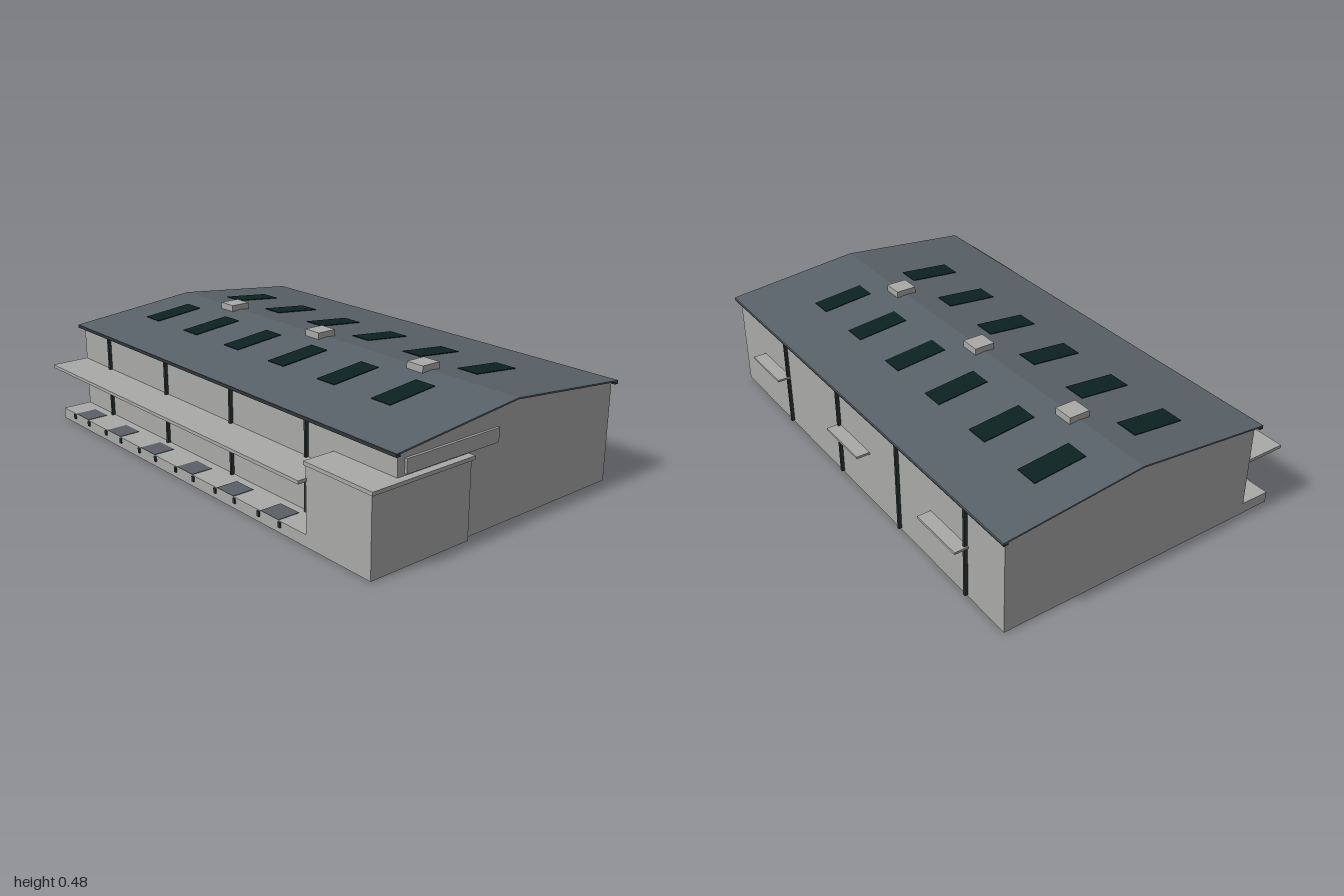
import * as THREE from 'three';

const mat = (name, color, side = THREE.FrontSide) => {
  const m = new THREE.MeshStandardMaterial({ color, side });
  m.name = name;
  return m;
};

export function createModel() {
  const group = new THREE.Group();
  const wall = mat('wall grey', 0xa9aaa8);
  const skirtMat = mat('skirt grey', 0xa9aaa8, THREE.DoubleSide);
  const roofMat = mat('slate roof', 0x596268);
  const trim = mat('dark trim', 0x2f3538);
  const glass = mat('skylight green', 0x0c2222);
  const plate = mat('steel plate', 0x5a6066);

  const add = (name, geometry, material) => {
    const mesh = new THREE.Mesh(geometry, material);
    mesh.name = name;
    group.add(mesh);
    return mesh;
  };
  // Box given by its limits on each axis
  const box = (name, x0, x1, y0, y1, z0, z1, material = wall) => {
    const mesh = add(name, new THREE.BoxGeometry(x1 - x0, y1 - y0, z1 - z0), material);
    mesh.position.set((x0 + x1) / 2, (y0 + y1) / 2, (z0 + z1) / 2);
    return mesh;
  };
  // Four walls without top and bottom
  const skirt = (name, x0, x1, y0, y1, z0, z1) => {
    const mesh = box(name, x0, x1, y0, y1, z0, z1, skirtMat);
    const index = Array.from(mesh.geometry.index.array);
    mesh.geometry.setIndex([...index.slice(0, 12), ...index.slice(24, 36)]);
    mesh.geometry.clearGroups();
  };
  // Cross-section of [z, y] points drawn out from x0 to x1
  const section = (name, points, x0, x1, material) => {
    const shape = new THREE.Shape(points.map(([z, y]) => new THREE.Vector2(-z, y)));
    const geometry = new THREE.ExtrudeGeometry(shape, { depth: x1 - x0, bevelEnabled: false });
    geometry.rotateY(Math.PI / 2).translate(x0, 0, 0);
    return add(name, geometry, material);
  };

  const FLOOR = 0.045, RIDGE_Z = -0.054, RIDGE_Y = 0.456, SLOPE = 0.1;
  const roofY = (z) => RIDGE_Y - SLOPE * Math.abs(z - RIDGE_Z);

  // Main hall on a hollow base
  section('hall', [
    [-0.6, FLOOR], [-0.6, roofY(-0.6) - 0.005], [RIDGE_Z, RIDGE_Y - 0.005],
    [0.495, roofY(0.495) - 0.005], [0.495, FLOOR],
  ], -0.98, 0.97, wall);
  skirt('hallBase', -0.98, 0.97, 0, FLOOR, -0.6, 0.495);

  // Gabled roof sheet with gutters
  section('roof', [
    [-0.62, roofY(-0.62) - 0.006], [-0.62, roofY(-0.62)], [RIDGE_Z, RIDGE_Y],
    [0.513, roofY(0.513)], [0.513, roofY(0.513) - 0.006], [RIDGE_Z, RIDGE_Y - 0.006],
  ], -1, 0.985, roofMat);
  box('frontGutter', -1, 0.985, 0.386, 0.399, 0.498, 0.515, trim);
  box('backGutter', -1, 0.985, 0.386, 0.399, -0.62, -0.602, trim);

  // Skylights on both slopes
  for (const x of [-0.79, -0.503, -0.215, 0.072, 0.362, 0.65]) {
    for (const [z0, z1] of [[-0.38, -0.165], [0.05, 0.268]]) {
      const zc = (z0 + z1) / 2;
      const pane = add('skylight', new THREE.BoxGeometry(0.094, 0.004, z1 - z0), glass);
      pane.position.set(x, roofY(zc) + 0.001, zc);
      pane.rotation.x = Math.sign(zc - RIDGE_Z) * Math.atan(SLOPE);
    }
  }

  // Ridge vents
  for (const x of [-0.623, -0.044, 0.535]) {
    box('ridgeVent', x - 0.041, x + 0.041, 0.445, 0.479, -0.097, -0.01);
  }

  // Downpipes on the front and back walls
  for (const x of [-0.766, -0.333, 0.1, 0.535]) {
    box('frontDownpipe', x - 0.005, x + 0.005, FLOOR, 0.39, 0.495, 0.508, trim);
    box('backDownpipe', x - 0.005, x + 0.005, 0.008, 0.39, -0.613, -0.6, trim);
  }

  // Canopies: one long at the front, three short at the back
  box('frontCanopy', -0.983, 0.678, 0.236, 0.249, 0.495, 0.655);
  for (const x of [-0.66, -0.008, 0.645]) {
    box('backCanopy', x - 0.116, x + 0.116, 0.214, 0.223, -0.655, -0.6);
  }

  // Loading dock with levelling plates and bumpers
  box('dockTop', -0.98, 0.675, FLOOR - 0.004, FLOOR, 0.495, 0.62);
  skirt('dockWalls', -0.98, 0.675, 0, FLOOR - 0.004, 0.495, 0.62);
  for (let i = 0; i < 6; i++) {
    const x = -0.822 + i * 0.26;
    box('dockPlate', x - 0.05, x + 0.05, FLOOR, FLOOR + 0.002, 0.53, 0.62, plate);
    for (const s of [-1, 1]) {
      const bx = x + s * 0.059;
      box('dockBumper', bx - 0.006, bx + 0.006, 0.022, 0.042, 0.62, 0.626, trim);
    }
  }

  // Office block at the corner
  box('office', 0.675, 0.99, FLOOR, 0.3, 0.175, 0.62);
  skirt('officeBase', 0.675, 0.99, 0, FLOOR, 0.175, 0.62);
  box('officeRoof', 0.67, 1, 0.295, 0.309, 0.168, 0.627);

  // Plain panel on the gable wall above the office
  box('wallPanel', 0.97, 0.98, 0.316, 0.369, 0.03, 0.463);

  return group;
}
